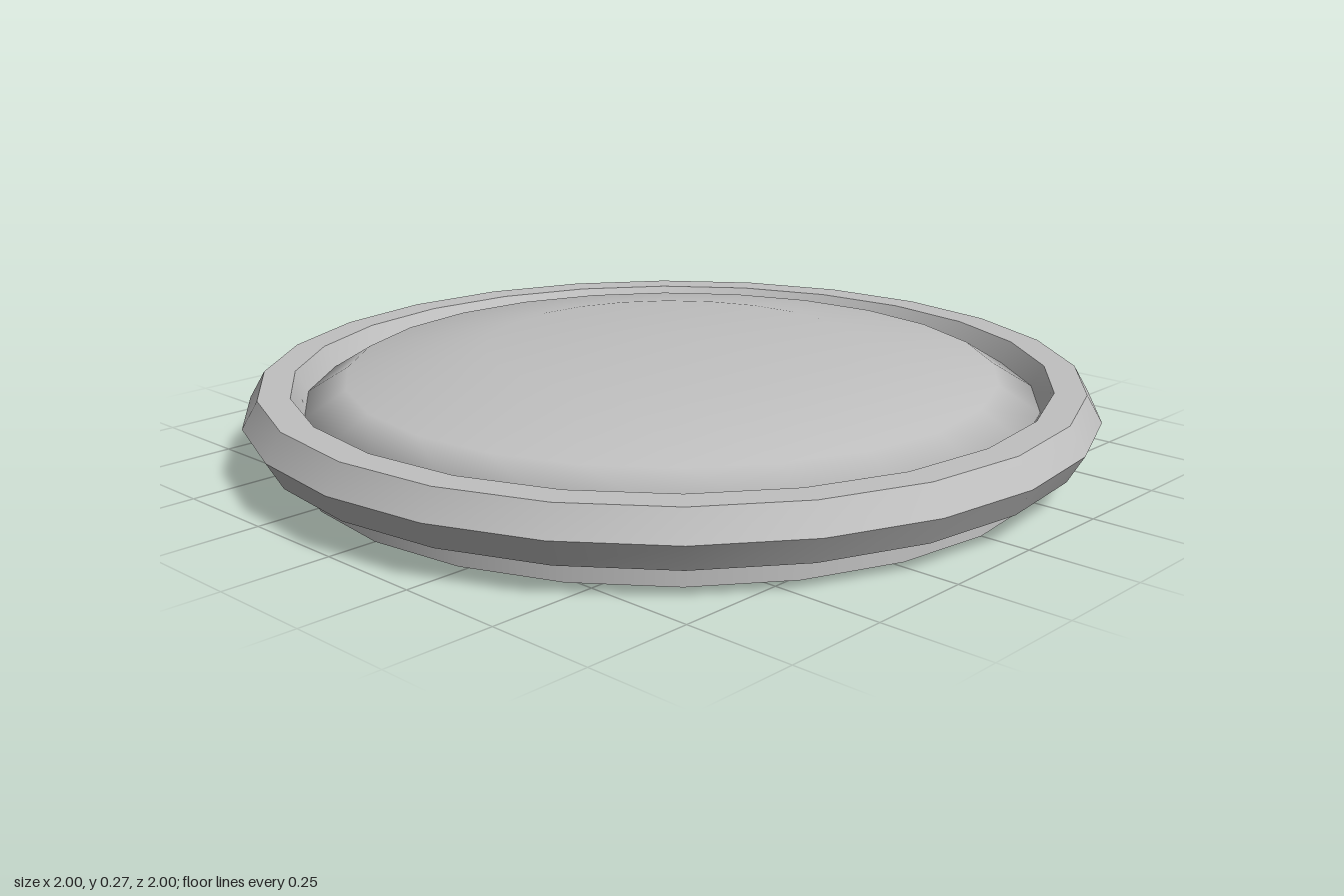
import * as THREE from 'three';
import { toCreasedNormals } from 'three/addons/utils/BufferGeometryUtils.js';

const SIDES = 24;
const RIM_Y = 0.129;   // height of the rim's centre line
const BODY_R = 0.885;  // radius of dome and skirt

export function createModel() {
  const group = new THREE.Group();
  const grey = new THREE.MeshStandardMaterial({ color: 0xc0c0c0, side: THREE.DoubleSide });
  grey.name = 'light grey';

  const add = (name, geometry, y) => {
    const mesh = new THREE.Mesh(geometry, grey);
    mesh.name = name;
    mesh.position.y = y;
    group.add(mesh);
  };

  // Hexagonal rim: crisp bands, smooth around the circle
  const rim = new THREE.TorusGeometry(0.927, 0.073, 6, SIDES).rotateX(Math.PI / 2);
  add('rim', toCreasedNormals(rim, 0.6), RIM_Y);

  // Shallow dome: flattened half sphere in three steps
  const dome = new THREE.SphereGeometry(BODY_R, SIDES, 3, 0, Math.PI * 2, 0, Math.PI / 2);
  dome.scale(1, 0.145 / BODY_R, 1);
  add('dome', dome, RIM_Y);

  // Flat disc closing the dome from below
  add('domeBase', new THREE.CircleGeometry(BODY_R, SIDES).rotateX(Math.PI / 2), RIM_Y);

  // Open skirt under the rim
  add('skirt', new THREE.CylinderGeometry(BODY_R, BODY_R, RIM_Y, SIDES, 1, true), RIM_Y / 2);

  return group;
}
